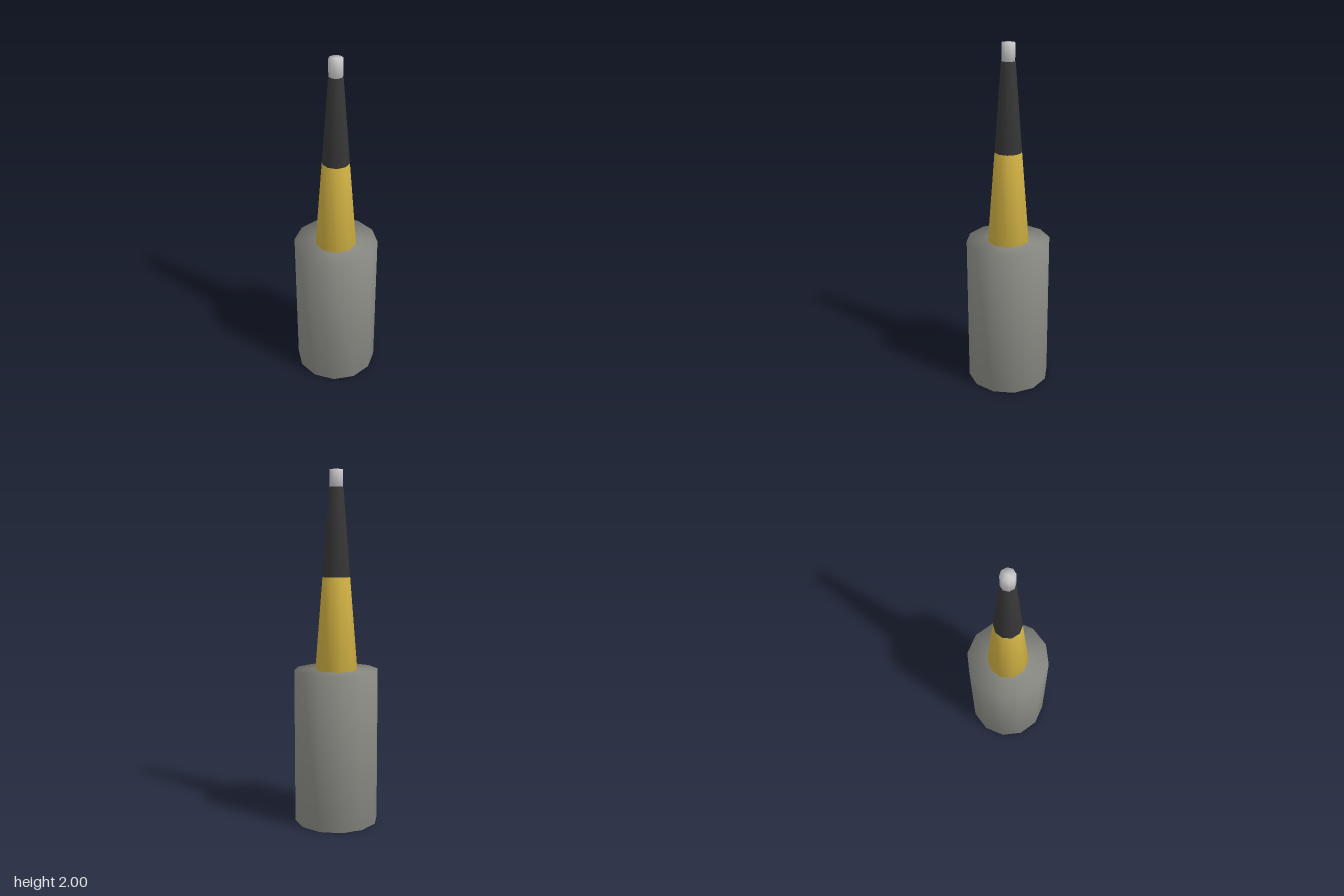
import * as THREE from 'three';

function material(name, color) {
  const m = new THREE.MeshStandardMaterial({ color });
  m.name = name;
  return m;
}

// Closed, softly shaded tapered cylinder turned from a four-point profile
function turnedPart(name, y0, y1, r0, r1, sides, mat) {
  const profile = [[0, y0], [r0, y0], [r1, y1], [0, y1]].map(([x, y]) => new THREE.Vector2(x, y));
  const mesh = new THREE.Mesh(new THREE.LatheGeometry(profile, sides), mat);
  mesh.name = name;
  return mesh;
}

export function createModel() {
  const group = new THREE.Group();
  group.name = 'taperedTool';

  const grey = material('warm grey', 0x8e8e88);
  const gold = material('gold', 0xd2b244);
  const black = material('charcoal', 0x383838);
  const silver = material('light silver', 0xcccccc);

  group.add(
    turnedPart('base', 0, 0.885, 0.24, 0.24, 12, grey),
    turnedPart('lowerTaper', 0.885, 1.41, 0.12, 0.078, 10, gold),
    turnedPart('upperTaper', 1.41, 1.905, 0.078, 0.04, 10, black),
    turnedPart('tip', 1.905, 2, 0.039, 0.039, 8, silver),
  );
  return group;
}
